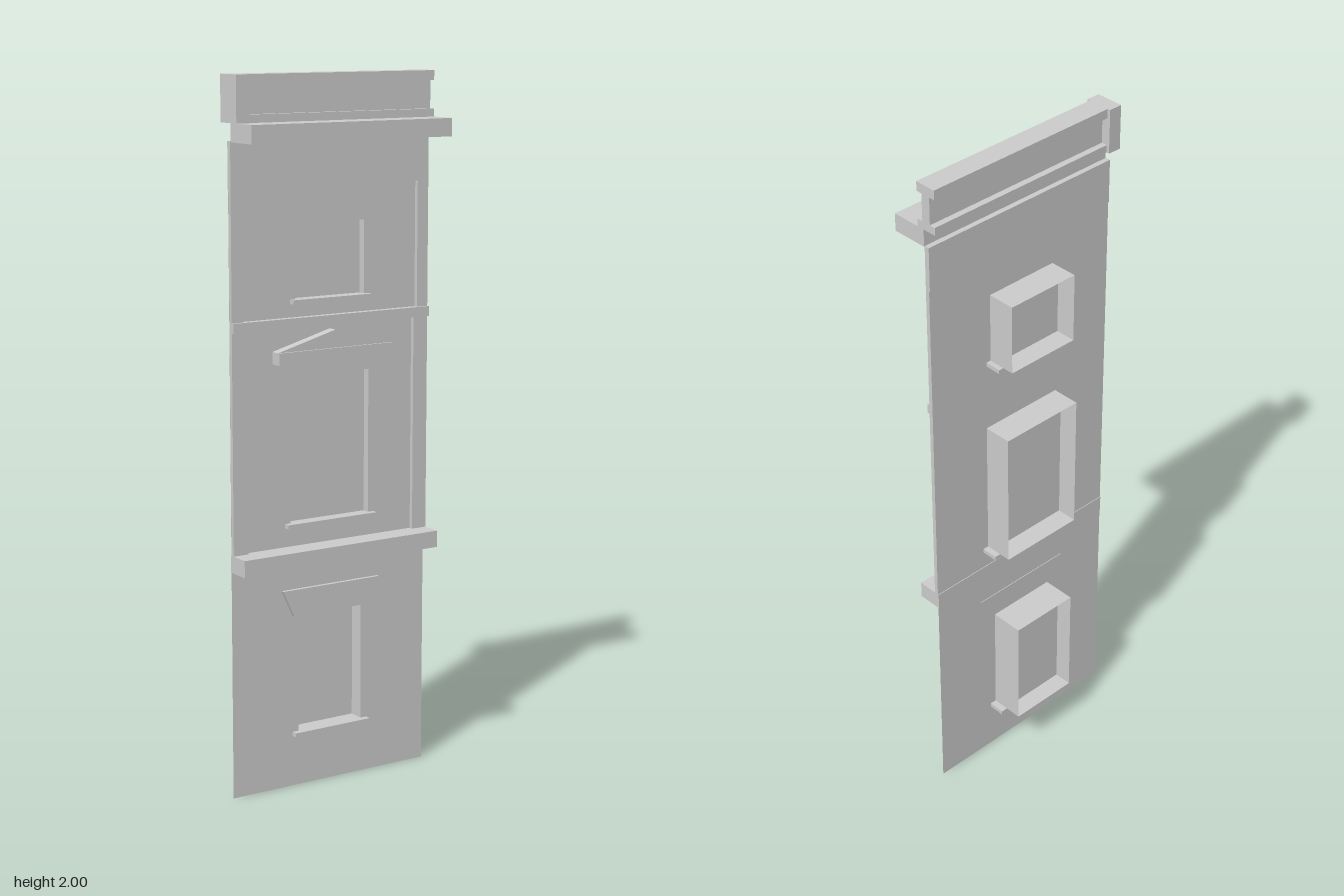
import * as THREE from 'three';

const material = new THREE.MeshStandardMaterial({ color: 0xcccccc, side: THREE.DoubleSide, flatShading: true });
const HALF = 0.32; // half width of the facade
const WALL = -0.015; // depth of the wall plane

export function createModel() {
  const model = new THREE.Group();
  model.name = 'townhouseFacade';

  const add = (name, geometry) => {
    const mesh = new THREE.Mesh(geometry, material);
    mesh.name = name;
    model.add(mesh);
    return mesh;
  };

  // Box given by its limits on each axis
  const block = (name, x0, x1, y0, y1, z0, z1) =>
    add(name, new THREE.BoxGeometry(x1 - x0, y1 - y0, z1 - z0))
      .position.set((x0 + x1) / 2, (y0 + y1) / 2, (z0 + z1) / 2);

  const polygon = (points) => new THREE.Shape(points.map(([x, y]) => new THREE.Vector2(x, y)));

  // Flat outline extruded from z0 to z1
  const slab = (name, points, z0, z1) =>
    add(name, new THREE.ExtrudeGeometry(polygon(points), { depth: z1 - z0, bevelEnabled: false }))
      .position.z = z0;

  const rectangle = (x0, x1, y0, y1) => [[x0, y0], [x1, y0], [x1, y1], [x0, y1]];

  const windows = [
    { name: 'groundWindow', w: 0.105, y0: 0.159, y1: 0.498, back: -0.113, pane: -0.06, sill: 0.125 },
    { name: 'middleWindow', w: 0.129, y0: 0.766, y1: 1.177, back: -0.098, pane: -0.037, sill: 0.147 },
    { name: 'upperWindow', w: 0.113, y0: 1.391, y1: 1.596, back: -0.098, pane: -0.037, sill: 0.128 },
  ];

  // Wall sheet with window openings
  const wall = polygon(rectangle(-HALF, HALF, 0, 1.826));
  for (const { w, y0, y1 } of windows) wall.holes.push(polygon(rectangle(-w, w, y0, y1)));
  add('wall', new THREE.ShapeGeometry(wall)).position.z = WALL;

  // Window reveals open at front and back, with a pane set inside and a sill below
  for (const { name, w, y0, y1, back, pane, sill } of windows) {
    const reveal = new THREE.BoxGeometry(2 * w, y1 - y0, WALL - back);
    reveal.setIndex(Array.from(reveal.index.array).slice(0, 24)); // sides, top and bottom only
    reveal.clearGroups();
    add(name + 'Reveal', reveal).position.set(0, (y0 + y1) / 2, (WALL + back) / 2);
    add(name + 'Pane', new THREE.PlaneGeometry(2 * w, y1 - y0)).position.set(0, (y0 + y1) / 2, pane);
    block(name + 'Sill', -sill, sill, y0 - 0.012, y0, -0.064, 0.003);
  }

  // Flared lintel over the ground window
  slab('groundLintel', [[-0.125, 0.5], [0.125, 0.5], [0.16, 0.576], [-0.16, 0.576]], -0.017, -0.004);

  // Pediment over the middle window
  block('pedimentBase', -0.185, 0.185, 1.218, 1.252, WALL, 0.02);
  slab('pedimentGable', [[-0.185, 1.252], [0.185, 1.252], [0, 1.302]], WALL, 0.014);

  // Corner pilasters on the two upper storeys
  for (const side of [-1, 1]) {
    for (const [name, inner, y0, y1] of [['middlePilaster', 0.273, 0.7, 1.314], ['upperPilaster', 0.284, 1.342, 1.697]]) {
      const edges = [side * inner, side * HALF].sort((a, b) => a - b);
      block(name, ...edges, y0, y1, -0.014, -0.002);
    }
  }

  // Horizontal bands and cornices
  block('lowerCornice', -HALF, HALF, 0.652, 0.7, -0.017, 0.056);
  block('storeyBand', -HALF, HALF, 1.314, 1.342, -0.014, 0.006);
  block('frieze', -HALF, HALF, 1.697, 1.826, -0.017, -0.002);
  block('mainCornice', -HALF, HALF, 1.823, 1.873, 0, 0.107);

  // Parapet with recessed panel and one end post
  block('parapetBase', -0.28, HALF, 1.873, 1.895, -0.042, 0.022);
  block('parapetPanel', -0.28, HALF, 1.895, 1.973, -0.024, 0.004);
  block('parapetCap', -0.28, HALF, 1.973, 2.0, -0.042, 0.022);
  block('parapetPost', -HALF, -0.28, 1.873, 2.0, -0.051, 0.031);

  return model;
}
